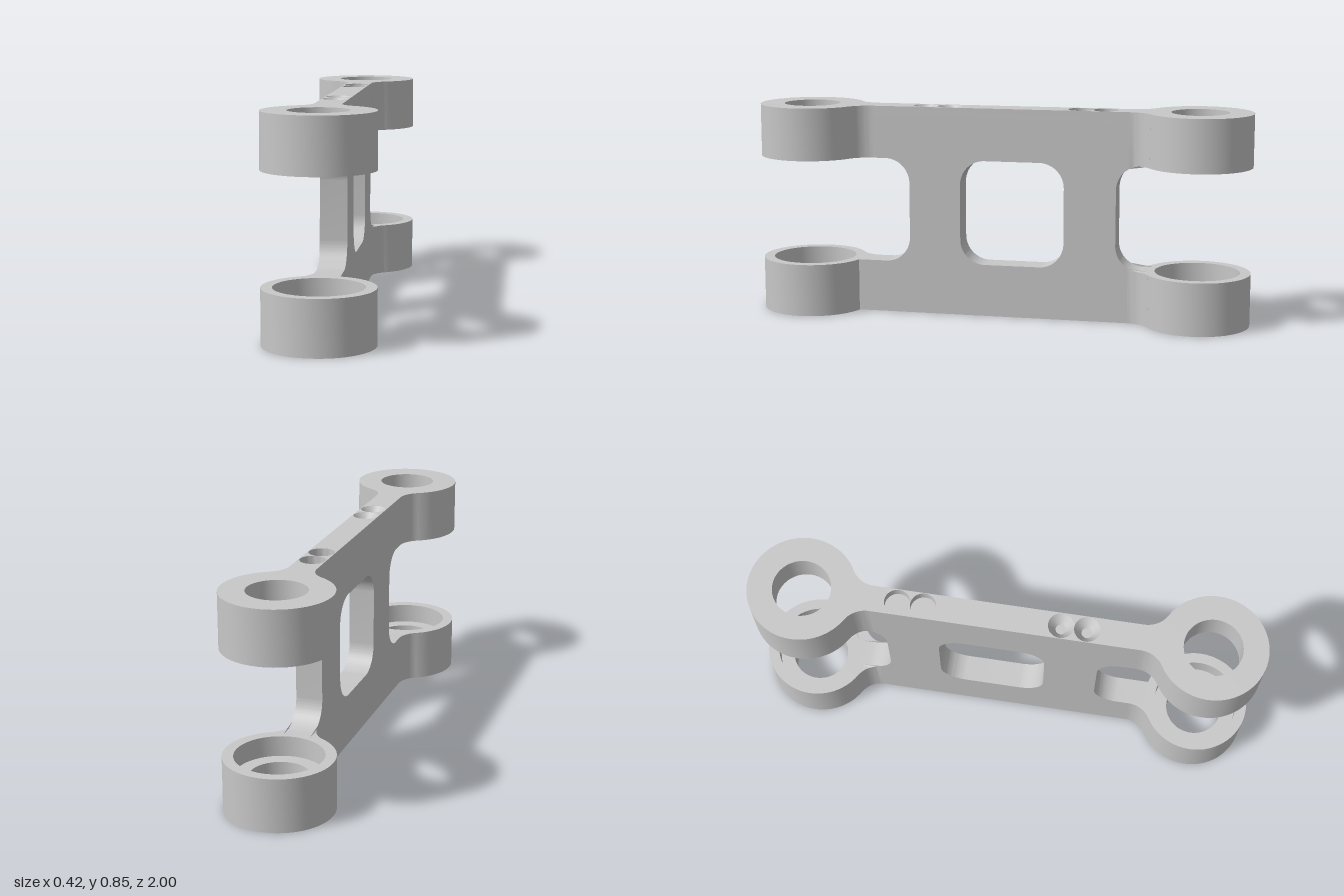
import * as THREE from 'three';
import { toCreasedNormals } from 'three/addons/utils/BufferGeometryUtils.js';

const H = 0.845, ARM = 0.211;          // total height, height of each arm
const RING_Z = 0.79, RING_R = 0.21;    // ring centres and outer radius
const HALF = 0.0525, END = 0.61;       // half thickness and half length of the web
const CAP = 0.04;                      // depth of the screw recesses
const CORNER = 0.1, FILLET = 0.1;
const HOLES = [-0.42, -0.32, 0.21, 0.31];

// Extrude a shape drawn as (x, -z) upwards from y0
function planExtrude(shape, y0, height) {
  const geo = new THREE.ExtrudeGeometry(shape, { depth: height, bevelEnabled: false, curveSegments: 20 });
  geo.rotateX(-Math.PI / 2);
  geo.translate(0, y0, 0);
  return geo;
}

// Side profile of the web with open notches at both ends and a rounded window
function webGeometry() {
  const lo = ARM, hi = H - ARM, r = CORNER, P = Math.PI;
  const s = new THREE.Shape();
  s.moveTo(-END, CAP);
  s.lineTo(END, CAP);
  s.lineTo(END, lo);
  s.absarc(0.47, lo + r, r, -P / 2, -P, true);
  s.absarc(0.47, hi - r, r, P, P / 2, true);
  s.lineTo(END, hi);
  s.lineTo(END, H - CAP);
  s.lineTo(-END, H - CAP);
  s.lineTo(-END, hi);
  s.absarc(-0.57, hi - r, r, P / 2, 0, true);
  s.absarc(-0.57, lo + r, r, 0, -P / 2, true);
  s.lineTo(-END, lo);
  s.closePath();

  const a = -0.262, b = 0.16, w = new THREE.Path();
  w.absarc(a + r, lo + r, r, 1.5 * P, P, true);
  w.absarc(a + r, hi - r, r, P, P / 2, true);
  w.absarc(b - r, hi - r, r, P / 2, 0, true);
  w.absarc(b - r, lo + r, r, 0, -P / 2, true);
  w.closePath();
  s.holes.push(w);

  const geo = new THREE.ExtrudeGeometry(s, { depth: HALF * 2, bevelEnabled: false, curveSegments: 14 });
  geo.translate(0, 0, -HALF);
  geo.rotateY(-Math.PI / 2);
  return toCreasedNormals(geo, 0.5);
}

// Thin strip closing the web above or below, pierced by the screw recesses
function stripGeometry(y0) {
  const s = new THREE.Shape([
    new THREE.Vector2(-HALF, -END), new THREE.Vector2(HALF, -END),
    new THREE.Vector2(HALF, END), new THREE.Vector2(-HALF, END),
  ]);
  for (const z of HOLES) s.holes.push(new THREE.Path().absarc(0, -z, 0.05, 0, Math.PI * 2, true));
  return toCreasedNormals(planExtrude(s, y0, CAP), 0.5);
}

// Concave blend between web and ring; its inner face follows the notch corner
function filletGeometry(sx, sz, upper) {
  const cx = HALF + FILLET;
  const cz = RING_Z - Math.sqrt((RING_R + FILLET) ** 2 - cx ** 2);
  const sweep = Math.atan2(RING_Z - cz, cx);
  const pts = [];
  for (let i = 0; i <= 14; i++) {
    const t = Math.PI - sweep * i / 14;
    pts.push(new THREE.Vector2(sx * (cx + FILLET * Math.cos(t)), -sz * (cz + FILLET * Math.sin(t))));
  }
  pts.push(new THREE.Vector2(sx * HALF, -sz * END));
  const geo = planExtrude(new THREE.Shape(pts), upper ? H - ARM : 0, ARM);
  if (sz < 0) {
    const p = geo.attributes.position, inner = upper ? H - ARM : ARM;
    for (let i = 0; i < p.count; i++) {
      const d = 0.57 - Math.abs(p.getZ(i));
      if (d > 0 && Math.abs(p.getY(i) - inner) < 1e-4) {
        const rise = CORNER - Math.sqrt(CORNER ** 2 - d * d);
        p.setY(i, inner + (upper ? -rise : rise));
      }
    }
  }
  return toCreasedNormals(geo, 0.5);
}

export function createModel() {
  const model = new THREE.Group();
  const grey = new THREE.MeshStandardMaterial({ color: 0xc8c8c8 });
  grey.name = 'light grey';
  const add = (name, geo) => {
    const mesh = new THREE.Mesh(geo, grey);
    mesh.name = name;
    model.add(mesh);
    return mesh;
  };

  add('web', webGeometry());
  add('bottomStrip', stripGeometry(0));
  add('topStrip', stripGeometry(H - CAP));

  // Rings with a counterbore on the side facing the opposite arm
  const profile = [[0.113, 0], [RING_R, 0], [RING_R, ARM], [0.168, ARM], [0.168, ARM - 0.08], [0.113, ARM - 0.08], [0.113, 0]];
  const ring = toCreasedNormals(
    new THREE.LatheGeometry(profile.map(([r, y]) => new THREE.Vector2(r, y)), 64), 0.5);
  for (const sz of [1, -1]) {
    add('lowerRing', ring).position.z = sz * RING_Z;
    const top = add('upperRing', ring);
    top.position.set(0, H, sz * RING_Z);
    top.rotation.z = Math.PI;
  }

  // Blends; one lower corner is left sharp
  for (const upper of [false, true])
    for (const sx of [1, -1])
      for (const sz of [1, -1])
        if (upper || sx < 0 || sz < 0) add('ringFillet', filletGeometry(sx, sz, upper));

  // Countersinks: all below, only the front pair above (the rear pair is flat-bottomed)
  const cone = new THREE.LatheGeometry([new THREE.Vector2(0.05, CAP), new THREE.Vector2(0.02, 0)], 32);
  for (const z of HOLES) {
    const low = add('lowerCountersink', cone);
    low.position.set(0, CAP, z);
    low.rotation.z = Math.PI;
    if (z > 0) add('upperCountersink', cone).position.set(0, H - CAP, z);
  }
  return model;
}
